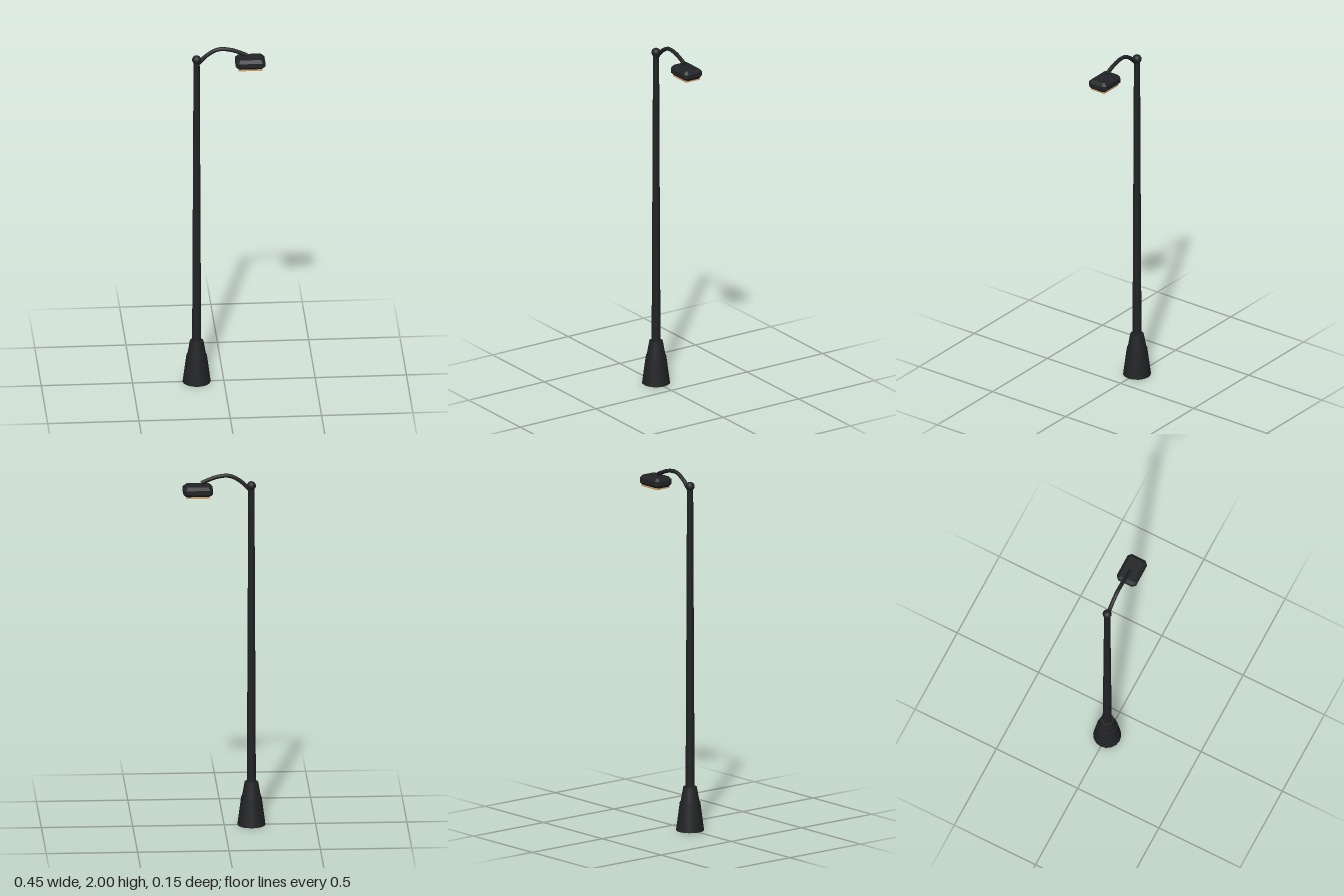
import * as THREE from 'three';

export function createModel() {
  const model = new THREE.Group();
  model.name = 'streetLamp';
  const metal = new THREE.MeshStandardMaterial({ color: 0x222326 });
  const metalFlat = new THREE.MeshStandardMaterial({ color: 0x222326, flatShading: true });
  const glow = new THREE.MeshStandardMaterial({ color: 0xd4a670 });
  const poleX = -0.149, headX = 0.144;

  const add = (name, geometry, material, x, y) => {
    const mesh = new THREE.Mesh(geometry, material);
    mesh.name = name;
    mesh.position.set(x, y, 0);
    model.add(mesh);
  };
  // Tapered round section standing between two heights
  const section = (name, rBottom, rTop, y0, y1, sides) =>
    add(name, new THREE.CylinderGeometry(rTop, rBottom, y1 - y0, sides), metal, poleX, (y0 + y1) / 2);

  // Base, collar, pole and ball cap
  section('base', 0.077, 0.056, 0, 0.16, 16);
  section('collar', 0.052, 0.037, 0.16, 0.245, 16);
  section('pole', 0.025, 0.017, 0.2, 1.93, 16);
  add('cap', new THREE.SphereGeometry(0.025, 16, 12), metal, poleX, 1.93);

  // Curved arm with closed ends
  const path = new THREE.CatmullRomCurve3([
    [-0.142, 1.905], [-0.09, 1.957], [-0.03, 1.988], [0.04, 1.983], [0.126, 1.95],
  ].map(([x, y]) => new THREE.Vector3(x, y, 0)));
  add('arm', new THREE.TubeGeometry(path, 24, 0.011, 10), metal, 0, 0);
  const end = new THREE.CircleGeometry(0.011, 10);
  end.lookAt(path.getTangent(1));
  const tip = path.getPoint(1);
  add('armEnd', end, metal, tip.x, tip.y);

  // Lamp head: plan with clipped corners, bevelled above and below
  const w = 0.081, d = 0.059, c = 0.017, bevel = 0.016, height = 0.056;
  const plan = new THREE.Shape([
    [w - c, -d], [w, -d + c], [w, d - c], [w - c, d],
    [-w + c, d], [-w, d - c], [-w, -d + c], [-w + c, -d],
  ].map(([x, y]) => new THREE.Vector2(x, y)));
  const head = new THREE.ExtrudeGeometry(plan, {
    depth: height - 2 * bevel, bevelEnabled: true, bevelSegments: 1,
    bevelSize: bevel, bevelThickness: bevel, bevelOffset: -bevel,
  });
  head.rotateX(-Math.PI / 2);
  add('lampHead', head, metalFlat, headX, 1.881 + bevel);

  // Light panel under the head
  add('lightPanel', new THREE.BoxGeometry(0.13, 0.012, 0.09), glow, headX, 1.879);

  return model;
}
